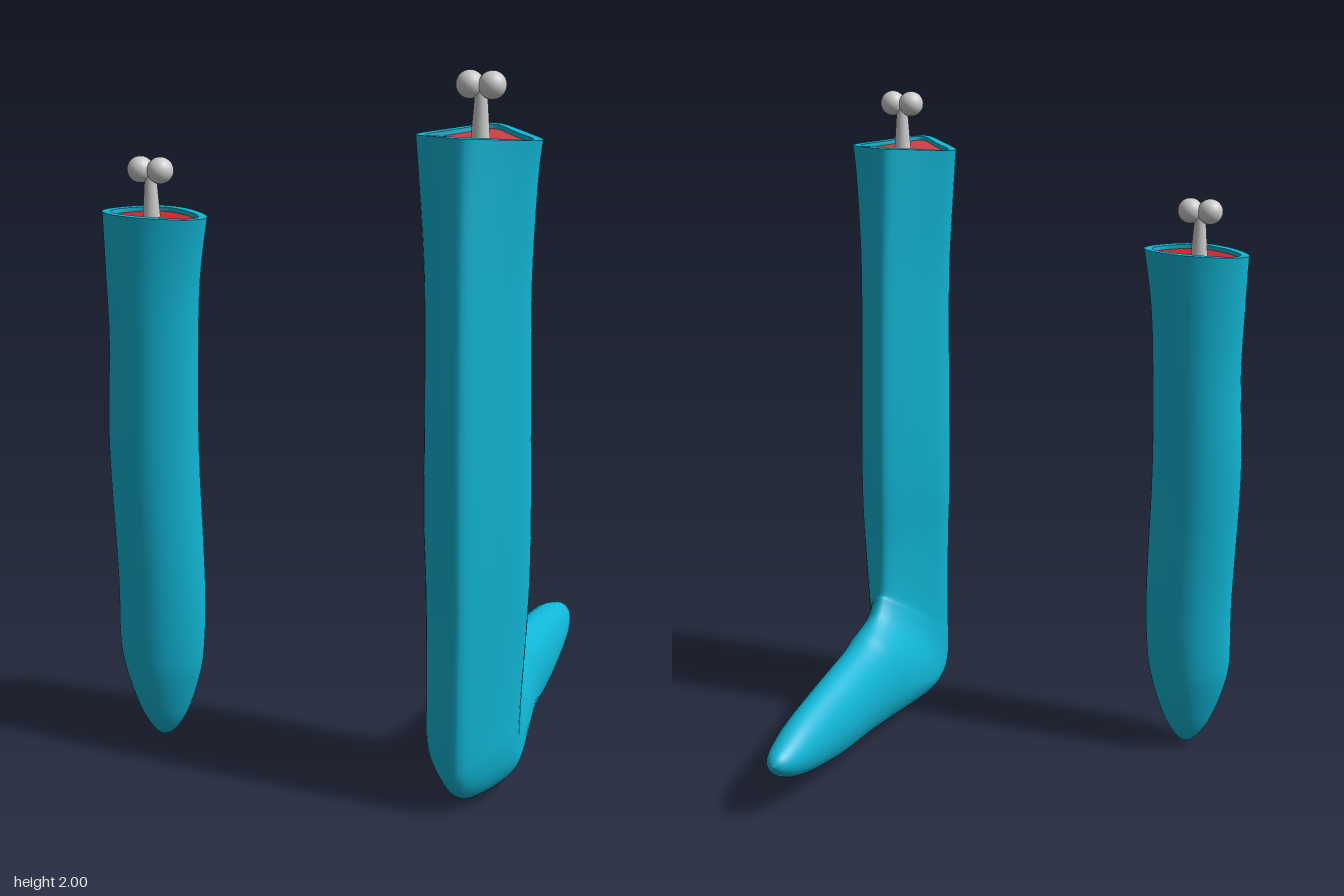
import * as THREE from 'three';
import { toCreasedNormals } from 'three/addons/utils/BufferGeometryUtils.js';

const SIDES = 48;
const skin = new THREE.MeshStandardMaterial({ color: 0x10b6d6 });
const boneGrey = new THREE.MeshStandardMaterial({ color: 0xcccccc });

// Every station: [outer z, outer y, inner z, inner y, centre x, half width,
//                 squareness, widest point (0 outer .. 1 inner), rim wave]

// Shin, level cuts: y, outer z, inner z, centre x, half width
const shin = [
  [1.838, 0.53, 0.21, 0.46, 0.17],
  [1.72, 0.54, 0.205, 0.46, 0.16],
  [1.45, 0.557, 0.195, 0.465, 0.146],
  [1.1, 0.57, 0.187, 0.471, 0.147],
  [0.8, 0.578, 0.188, 0.476, 0.15],
].map(([y, z0, z1, x, w], i) => [z0, y, z1, y, x, w, 0.12, 0.5, i ? 0 : 0.008]);

// Heel, cuts turning about the ankle: outer z, y, inner z, y, half width, widest point
const heel = [
  [0.582, 0.58, 0.196, 0.6, 0.145, 0.5],
  [0.586, 0.2, 0.19, 0.45, 0.134, 0.46],
  [0.57, 0.09, 0.178, 0.42, 0.132, 0.4],
  [0.52, 0.035, 0.16, 0.395, 0.13, 0.32],
  [0.45, 0.013, 0.14, 0.375, 0.127, 0.28],
  [0.38, 0.003, 0.11, 0.36, 0.12, 0.3],
  [0.27, 0.008, 0.06, 0.342, 0.108, 0.38],
].map(([az, ay, bz, by, w, c], i) => [az, ay, bz, by, 0.481, w, 0.12 - 0.02 * i, c, 0]);

// Foot, upright cuts: z, bottom y, top y, half width
const foot = [
  [0, 0.028, 0.324, 0.086],
  [-0.2, 0.044, 0.295, 0.078],
  [-0.4, 0.08, 0.262, 0.065],
  [-0.51, 0.115, 0.23, 0.05],
  [-0.565, 0.148, 0.206, 0.029],
  [-0.585, 0.18, 0.18, 0],
].map(([z, y0, y1, w]) => [z, y0, z, y1, 0.482, w, 0, 0.5, 0]);

// Arm, level cuts: y, min x, max x, half depth
const arm = [
  [1.575, -0.632, -0.308, 0.103],
  [1.4, -0.625, -0.334, 0.107],
  [1.2, -0.62, -0.345, 0.11],
  [0.9, -0.631, -0.35, 0.112],
  [0.5, -0.616, -0.34, 0.11],
  [0.3, -0.616, -0.348, 0.106],
  [0.2, -0.597, -0.367, 0.095],
  [0.1, -0.56, -0.402, 0.07],
  [0.045, -0.527, -0.434, 0.044],
  [0.018, -0.502, -0.46, 0.02],
  [0.008, -0.482, -0.482, 0],
].map(([y, x0, x1, d], i) =>
  [0.367 + d, y, 0.367 - d, y, (x0 + x1) / 2, (x1 - x0) / 2, 0.03, 0.5, i ? 0 : 0.003]);

// Closed ring of points for one station; shear swings it about the vertical
function ring([az, ay, bz, by, cx, w, k, c, wave], shear) {
  const mz = az + (bz - az) * c, my = ay + (by - ay) * c;
  return Array.from({ length: SIDES }, (_, j) => {
    const t = j / SIDES * Math.PI * 2;
    const u = (Math.cos(t) + k * Math.cos(3 * t)) / (1 + k);
    const v = (Math.sin(t) - k * Math.sin(3 * t)) / (1 + k);
    const [dz, dy] = u > 0 ? [az - mz, ay - my] : [mz - bz, my - by];
    return new THREE.Vector3(cx + w * v, my + dy * u + wave * Math.cos(2 * t), mz + dz * u + shear * w * v);
  });
}

// Skin joining successive rings
function loft(rings) {
  const index = [];
  for (let i = 0; i < rings.length - 1; i++) {
    for (let j = 0; j < SIDES; j++) {
      const a = i * SIDES + j, b = i * SIDES + (j + 1) % SIDES;
      index.push(a, a + SIDES, b, b, a + SIDES, b + SIDES);
    }
  }
  const geo = new THREE.BufferGeometry().setFromPoints(rings.flat());
  geo.setIndex(index);
  geo.computeVertexNormals();
  return geo;
}

// Smooth in-between stations
function refine(stations, steps) {
  const last = stations.length - 1;
  const out = [];
  for (let i = 0; i < last; i++) {
    const [p, q, r, s] = [i - 1, i, i + 1, i + 2].map(n => stations[Math.min(Math.max(n, 0), last)]);
    for (let n = 0; n < steps; n++) {
      const t = n / steps;
      out.push(q.map((b, m) => {
        const a = p[m], c = r[m], d = s[m];
        return b + 0.5 * t * (c - a + t * (2 * a - 5 * b + 4 * c - d + t * (3 * (b - c) + d - a)));
      }));
    }
  }
  out.push(stations[last]);
  return out;
}

function part(group, name, geometry, material, x = 0, y = 0, z = 0) {
  const mesh = new THREE.Mesh(geometry, material);
  mesh.name = name;
  mesh.position.set(x, y, z);
  group.add(mesh);
}

function limb(name, stations, shear, fleshColor, [x, y, z]) {
  const group = new THREE.Group();
  group.name = name;
  part(group, name + 'Skin', loft(refine(stations, 5).map(s => ring(s, shear))), skin);

  // Cut end: skin rim around a slightly sunken flesh face
  const [z0, topY, z1, , cx] = stations[0];
  const top = ring(stations[0], shear);
  const mid = new THREE.Vector3(cx, topY, (z0 + z1) / 2);
  const inset = (amount, drop) => top.map(p => {
    const inward = mid.clone().sub(p).setY(0).normalize();
    const q = p.clone().addScaledVector(inward, amount);
    q.y -= drop;
    return q;
  });
  part(group, name + 'Rim', toCreasedNormals(loft([inset(0.028, 0.02), inset(0.026, 0), top]), 0.7), skin);
  const centre = top.map(() => mid.clone().setY(topY - 0.012));
  part(group, name + 'Flesh', loft([centre, inset(0.027, 0.012)]),
    new THREE.MeshStandardMaterial({ color: fleshColor }));

  // Bone stub with two knuckles
  part(group, name + 'BoneShaft', new THREE.CylinderGeometry(0.015, 0.026, 0.15, 24), boneGrey, x, y - 0.075, z);
  for (const side of [-1, 1]) {
    part(group, name + 'BoneKnuckle', new THREE.SphereGeometry(0.037, 24, 16), boneGrey, x + side * 0.03, y, z);
  }
  return group;
}

export function createModel() {
  const model = new THREE.Group();
  model.name = 'severedLimbs';
  model.add(limb('leg', [...shin, ...heel, ...foot], 0, 0xcb4045, [0.462, 1.963, 0.364]));
  model.add(limb('arm', arm, 0.08, 0xc8282c, [-0.48, 1.693, 0.362]));
  return model;
}
